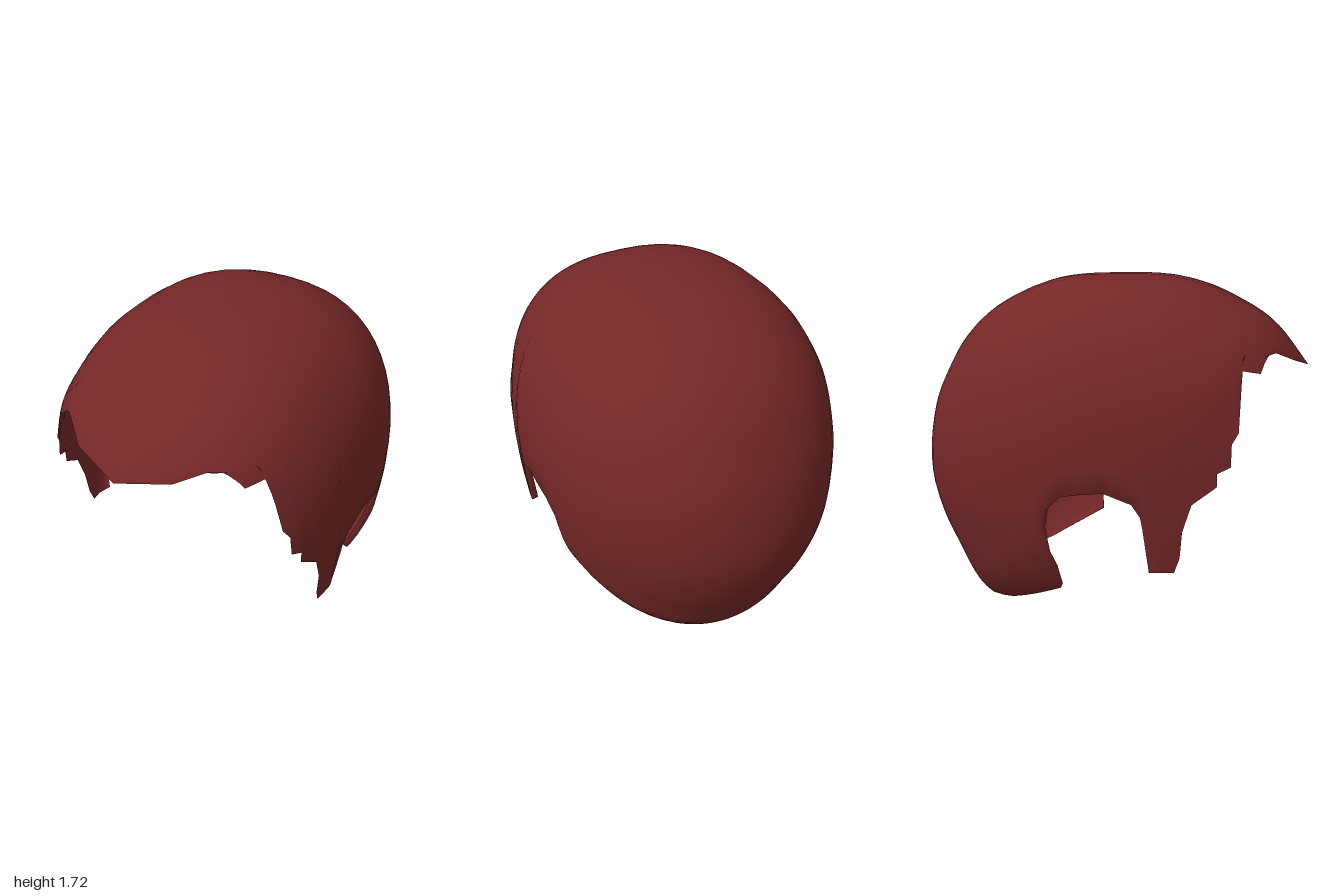
import * as THREE from 'three';
import { mergeVertices } from 'three/addons/utils/BufferGeometryUtils.js';

const CY = 0.8;         // height of the head centre
const HALF_WIDTH = 0.785;

// Midline profile [z, y], front tip over the crown to the nape,
// closed by guide points under the chin that only steer the width of the sides
const PROFILE = [
  [1, 1.26], [0.82, 1.48], [0.63, 1.6], [0.47, 1.67], [0.3, 1.71], [0.07, 1.72], [-0.3, 1.69],
  [-0.61, 1.55], [-0.77, 1.4], [-0.87, 1.24], [-0.94, 1.09], [-0.99, 0.88], [-1, 0.75],
  [-0.985, 0.6], [-0.93, 0.42], [-0.86, 0.27], [-0.7, 0.0],
  [-0.28, -0.17], [0.3, -0.4], [0.85, -0.4], [1.25, 0.4], [1.22, 0.95],
];

// Cut edge of one side [z, y, angle on the midline profile it hangs from]
const RIM = [
  [1, 1.26, 24.7], [0.92, 1.31, 28], [0.82, 1.36, 32], [0.77, 1.35, 35], [0.75, 1.28, 40], // fringe
  [0.66, 1.3, 46], [0.655, 1.2, 48], [0.66, 1.03, 49], [0.63, 0.98, 51], [0.63, 0.88, 52], // temple
  [0.565, 0.85, 54], [0.57, 0.79, 55], [0.46, 0.71, 58], [0.42, 0.58, 60],
  [0.41, 0.45, 61], [0.385, 0.375, 62], [0.27, 0.375, 70], [0.24, 0.6, 72],                // sideburn
  [0.23, 0.65, 73], [0.19, 0.71, 77], [0.06, 0.76, 86], [-0.07, 0.745, 94],                // ear arch
  [-0.14, 0.73, 100], [-0.21, 0.66, 115], [-0.23, 0.55, 140], [-0.215, 0.42, 165],
  [-0.185, 0.34, 185], [-0.17, 0.23, 205], [-0.3, 0.165, 212], [-0.46, 0.09, 218],         // nape
  [-0.6, 0.05, 223], [-0.7, 0.0, 227.73],
];

// Roundness of the cross-section by angle [degrees, exponent]
const ROUNDNESS = [[0, 2.1], [37, 2.4], [90, 2.5], [180, 2], [360, 2.1]];

const lerp = THREE.MathUtils.lerp;
const degrees = (z, y) => (THREE.MathUtils.radToDeg(Math.atan2(y - CY, z)) + 360) % 360;

function lookUp(table, a) {
  let i = 1;
  while (i < table.length - 1 && table[i][0] < a) i++;
  const [a0, v0] = table[i - 1], [a1, v1] = table[i];
  return lerp(v0, v1, (a - a0) / (a1 - a0));
}

// Radius of the profile by angle
function radiusTable() {
  const curve = new THREE.CatmullRomCurve3(PROFILE.map(([z, y]) => new THREE.Vector3(0, y, z)), true);
  const table = curve.getPoints(600).slice(0, 600)
    .map((p) => [degrees(p.z, p.y), Math.hypot(p.z, p.y - CY)])
    .sort((p, q) => p[0] - q[0]);
  const first = table[0], last = table[table.length - 1];
  return [[last[0] - 360, last[1]], ...table, [first[0] + 360, first[1]]];
}

function shellGeometry() {
  const radii = radiusTable();

  // Half width of the head at a point of the side outline
  const widthAt = (z, y) => {
    const a = degrees(z, y), n = lookUp(ROUNDNESS, a);
    const q = Math.min(1, Math.hypot(z, y - CY) / lookUp(radii, a));
    return HALF_WIDTH * Math.pow(1 - Math.pow(q, n), 1 / n);
  };

  // Rows run from the fringe to the nape
  const rows = [];
  RIM.forEach((r, i) => {
    if (i === RIM.length - 1) return rows.push(r);
    const next = RIM[i + 1], steps = Math.max(1, Math.ceil((next[2] - r[2]) / 4));
    for (let k = 0; k < steps; k++) rows.push(r.map((v, c) => lerp(v, next[c], k / steps)));
  });

  const half = 16, cols = 2 * half + 3;
  const positions = [], index = [];
  for (const [rz, ry, a] of rows) {
    const t = THREE.MathUtils.degToRad(a), R = lookUp(radii, a);
    const mz = R * Math.cos(t), my = CY + R * Math.sin(t);
    const lip = a > 69 ? 1 : 0;
    for (let j = -half - 1; j <= half + 1; j++) {
      const s = Math.min(1, Math.abs(j) / half) ** 2;
      const z = lerp(mz, rz, s), y = lerp(my, ry, s);
      const x = Math.sign(j) * (j === 0 ? 0 : widthAt(z, y));
      // The outermost column folds inward as a thin lip
      const fold = Math.abs(j) > half ? lip : 0;
      positions.push(x * (1 - 0.045 * fold), y + 0.012 * fold, z * (1 - 0.02 * fold));
    }
  }
  for (let i = 0; i < rows.length - 1; i++) {
    for (let j = 0; j < cols - 1; j++) {
      const p = i * cols + j;
      index.push(p, p + 1, p + cols, p + 1, p + cols + 1, p + cols);
    }
  }
  const g = new THREE.BufferGeometry();
  g.setAttribute('position', new THREE.Float32BufferAttribute(positions, 3));
  g.setIndex(index);
  const merged = mergeVertices(g, 1e-4);
  merged.computeVertexNormals();
  return merged;
}

export function createModel() {
  const hairRed = new THREE.MeshStandardMaterial({ color: 0x752727, side: THREE.DoubleSide });
  hairRed.name = 'dark red hair';
  const hair = new THREE.Mesh(shellGeometry(), hairRed);
  hair.name = 'hair';
  const model = new THREE.Group();
  model.name = 'hairpiece';
  model.add(hair);
  return model;
}
